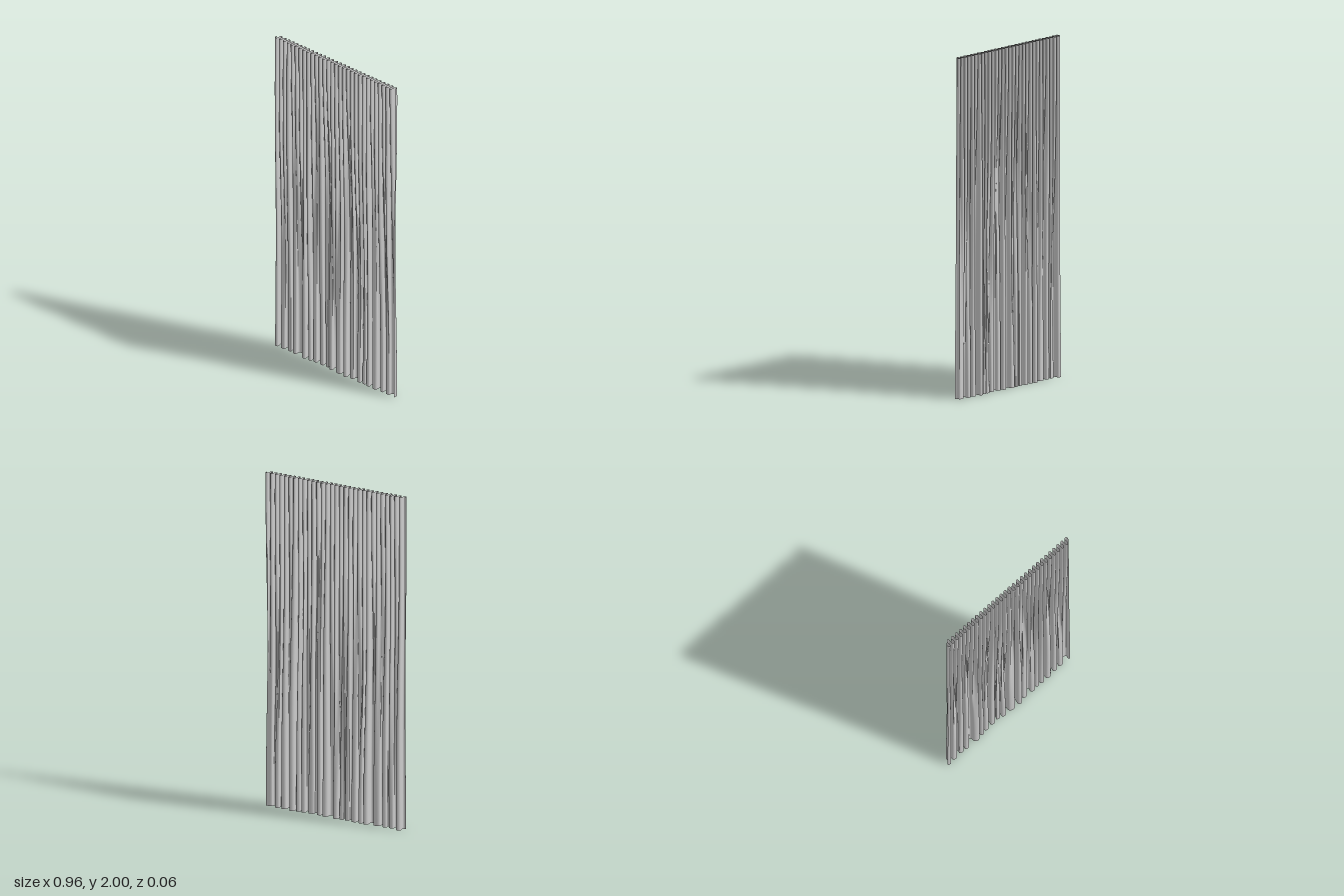
import * as THREE from 'three';
import { ParametricGeometry } from 'three/addons/geometries/ParametricGeometry.js';

const { lerp, smoothstep } = THREE.MathUtils;

// Tight, even pleats gathered along the heading
function headingFold(u) {
  const p = u * Math.PI * 2 * 30;
  return {
    x: lerp(-0.486, 0.472, u) - 0.004 * Math.sin(2 * p),
    z: 0.007 + 0.02 * Math.sin(p),
  };
}

// Wider, irregular folds along the hem
function hemFold(u) {
  const p = Math.PI * 2 * (19.5 * u + 0.22 * Math.sin(17 * u) + 0.15 * Math.sin(41 * u + 1));
  const depth = 0.021 + 0.005 * Math.sin(23 * u + 2) + 0.003 * Math.sin(57 * u);
  return {
    x: lerp(-0.48, 0.48, u) - 0.0075 * Math.sin(2 * p + 0.3),
    z: 0.004 * Math.sin(13 * u) + depth * Math.sin(p),
  };
}

export function createModel() {
  const group = new THREE.Group();
  group.name = 'curtain';

  // One cloth sheet whose folds relax from the heading down to the hem
  const cloth = new ParametricGeometry((u, v, target) => {
    const top = headingFold(u);
    const hem = hemFold(u);
    // Each fold lets go at a slightly different height
    const shift = 0.12 * Math.sin(29 * u) + 0.08 * Math.sin(67 * u + 1);
    const t = smoothstep(v + shift * Math.sin(Math.PI * v), 0, 1);
    const sway = 0.004 * Math.sin(Math.PI * v) * Math.sin(9 * u + 5 * v);
    target.set(lerp(hem.x, top.x, t) + sway, 2 * v, lerp(hem.z, top.z, t));
  }, 600, 40);

  const material = new THREE.MeshStandardMaterial({ color: 0xcccccc, side: THREE.DoubleSide });
  const sheet = new THREE.Mesh(cloth, material);
  sheet.name = 'pleatedCloth';
  group.add(sheet);
  return group;
}
